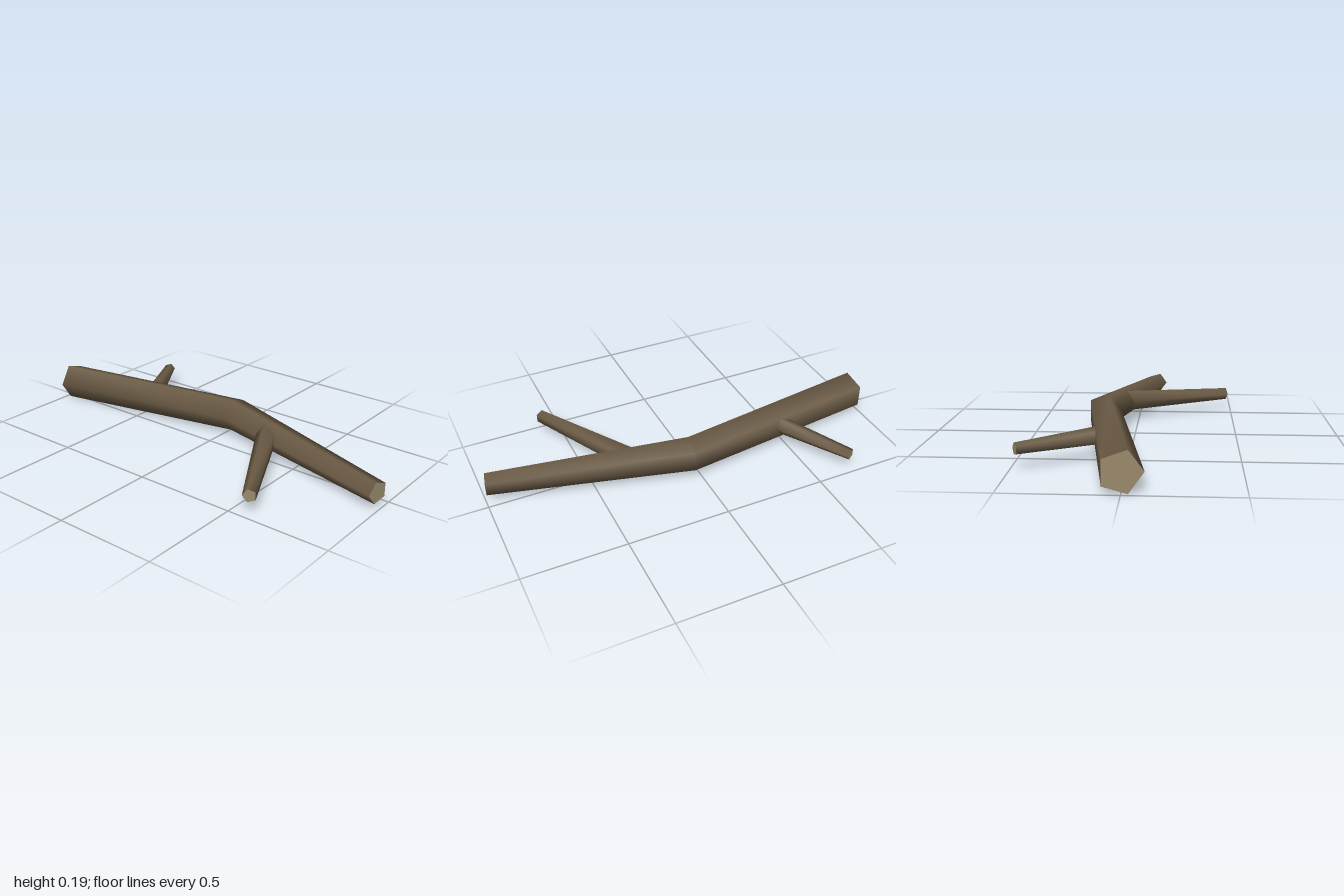
import * as THREE from 'three';

const SIDES = 5;
const bark = new THREE.MeshStandardMaterial({ color: 0x6b5b45 });
bark.name = 'bark';
const cutWood = new THREE.MeshStandardMaterial({ color: 0x998a6c });
cutWood.name = 'cutWood';

// Five-sided rings along a path of [x, y, z, radius] stations
function makeRings(stations) {
  const points = stations.map(([x, y, z]) => new THREE.Vector3(x, y, z));
  const up = new THREE.Vector3(0, 1, 0);
  const heading = (i) => points[i + 1].clone().sub(points[i]).setY(0).normalize();
  return stations.map((station, i) => {
    const t = new THREE.Vector3();
    if (i > 0) t.add(heading(i - 1));
    if (i < points.length - 1) t.add(heading(i));
    t.normalize();
    const side = new THREE.Vector3(-t.z, 0, t.x);
    return Array.from({ length: SIDES }, (_, j) => {
      const a = (j / SIDES) * Math.PI * 2;
      return points[i].clone()
        .addScaledVector(side, Math.cos(a) * station[3])
        .addScaledVector(up, Math.sin(a) * station[3]);
    });
  });
}

function makeMesh(name, points, index, material) {
  const geometry = new THREE.BufferGeometry().setFromPoints(points);
  geometry.setIndex(index);
  geometry.computeVertexNormals();
  const mesh = new THREE.Mesh(geometry, material);
  mesh.name = name;
  return mesh;
}

// Smooth bark sleeve with a flat cut at each end
function makeLimb(name, stations) {
  const rings = makeRings(stations);
  const sleeve = [];
  for (let i = 0; i < rings.length - 1; i++) {
    for (let j = 0; j < SIDES; j++) {
      const a = i * SIDES + j;
      const b = i * SIDES + ((j + 1) % SIDES);
      sleeve.push(a, a + SIDES, b, b, a + SIDES, b + SIDES);
    }
  }
  const startFan = [];
  const endFan = [];
  for (let j = 1; j < SIDES - 1; j++) {
    startFan.push(0, j, j + 1);
    endFan.push(0, j + 1, j);
  }
  const limb = new THREE.Group();
  limb.name = name;
  limb.add(
    makeMesh(name + 'Bark', rings.flat(), sleeve, bark),
    makeMesh(name + 'StartCut', rings[0], startFan, cutWood),
    makeMesh(name + 'EndCut', rings[rings.length - 1], endFan, cutWood),
  );
  return limb;
}

export function createModel() {
  const model = new THREE.Group();
  model.name = 'fallenBranch';
  model.add(
    // Bent main stem, tapering toward +x
    makeLimb('mainStem', [
      [-0.987, 0.09, 0.0, 0.0946],
      [0.034, 0.107, -0.157, 0.0866],
      [0.984, 0.076, 0.079, 0.0547],
    ]),
    // Side twigs, rooted inside the stem
    makeLimb('frontTwig', [
      [0.3, 0.105, -0.075, 0.055],
      [0.589, 0.091, 0.469, 0.0326],
    ]),
    makeLimb('backTwig', [
      [-0.45, 0.107, -0.085, 0.047],
      [-0.677, 0.092, -0.476, 0.0284],
    ]),
  );
  return model;
}
